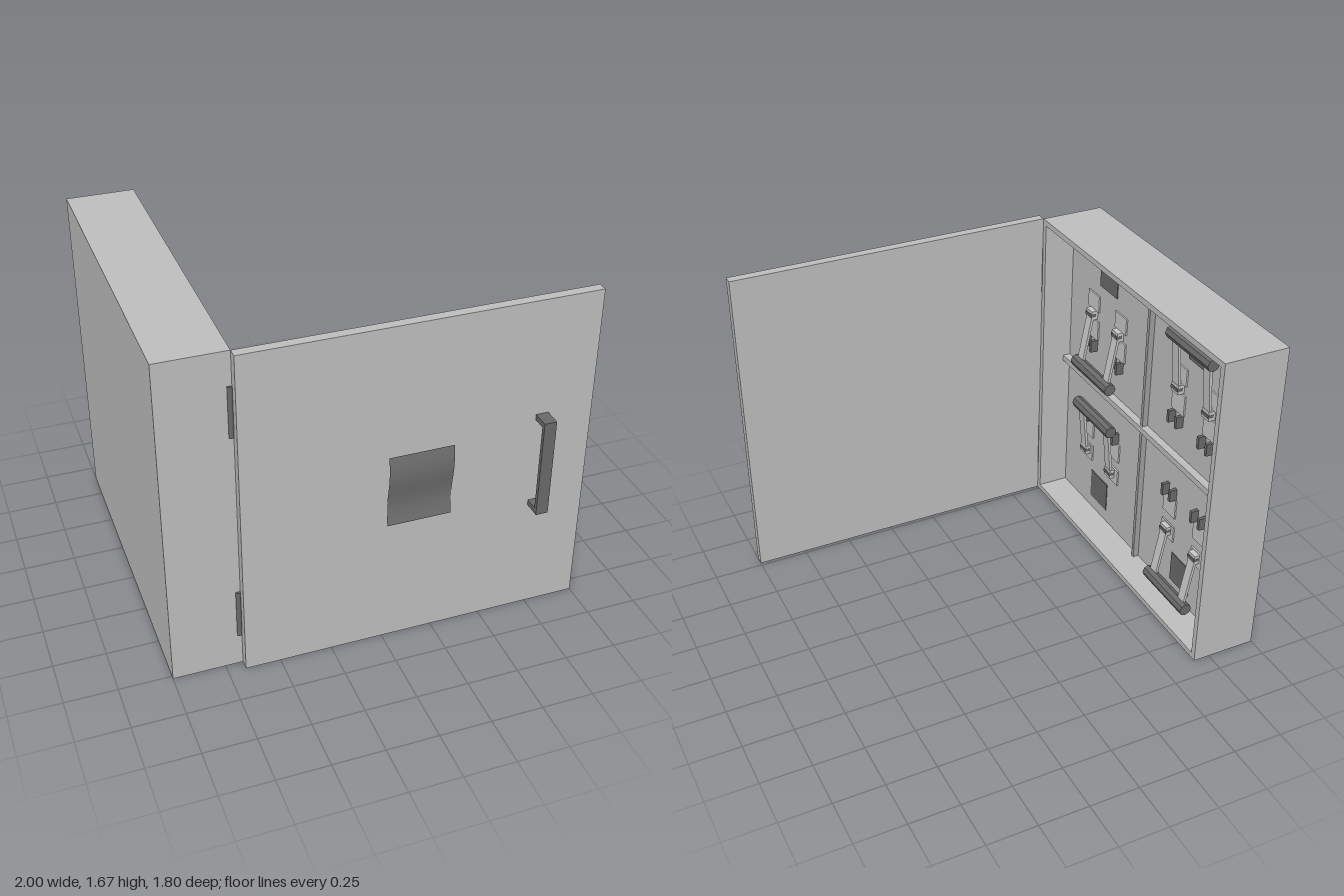
import * as THREE from 'three';

const mat = (name, color, side = THREE.FrontSide) => {
  const m = new THREE.MeshStandardMaterial({ color, side });
  m.name = name;
  return m;
};

export function createModel() {
  const grey = mat('cabinet grey', 0xbfbfbf);
  const pale = mat('pale metal', 0xc8c8c8);
  const mid = mat('mid grey', 0xa0a0a0);
  const dark = mat('dark grey', 0x6a6a6a);
  const signMat = mat('sign grey', 0x707070, THREE.DoubleSide);
  const root = new THREE.Group();

  const add = (name, geo, material, parent = root) => {
    const mesh = new THREE.Mesh(geo, material);
    mesh.name = name;
    parent.add(mesh);
    return mesh;
  };
  // Box given by its limits along each axis
  const box = (name, m, x0, x1, y0, y1, z0, z1, parent) => {
    const mesh = add(name, new THREE.BoxGeometry(x1 - x0, y1 - y0, z1 - z0), m, parent);
    mesh.position.set((x0 + x1) / 2, (y0 + y1) / 2, (z0 + z1) / 2);
    return mesh;
  };

  const H = 1.667, open = -0.667, panel = -0.832, wall = 0.03;
  const zBack = -0.9, zFront = 0.767;

  // Cabinet: solid back with a mounting face, and four rim walls
  box('cabinetBack', grey, -1, panel, 0, H, zBack, zFront);
  box('bottomWall', grey, panel, open, 0, wall, zBack, zFront);
  box('topWall', grey, panel, open, H - wall, H, zBack, zFront);
  box('rearWall', grey, panel, open, wall, H - wall, zBack, zBack + wall);
  box('frontWall', grey, panel, open, wall, H - wall, zFront - wall, zFront);

  // Dividers between the four bays
  box('shelfDivider', grey, panel, panel + 0.04, 0.82, 0.852, zBack + wall, zFront - wall);
  for (const [y0, y1] of [[wall, 0.82], [0.852, H - wall]]) {
    box('uprightDivider', mid, panel, panel + 0.03, y0, y1, -0.085, -0.065);
    box('uprightSeam', dark, panel, panel + 0.008, y0, y1, -0.065, -0.038);
  }

  // Open door with its handle and hinges
  box('door', grey, open, 1, 0, H, zFront, 0.815);
  const handle = new THREE.Group();
  handle.name = 'doorHandle';
  root.add(handle);
  box('handleGrip', dark, 0.72, 0.78, 0.585, 1.085, 0.88, 0.9, handle);
  for (const y of [0.585, 1.057]) box('handleLeg', dark, 0.72, 0.78, y, y + 0.028, 0.815, 0.88, handle);
  for (const y of [0.295, 1.375]) {
    add('hinge', new THREE.CylinderGeometry(0.012, 0.012, 0.25, 12), dark).position.set(-0.677, y, 0.766);
  }

  // Gently waved sign on the door
  const signGeo = new THREE.PlaneGeometry(0.31, 0.37, 1, 16);
  const p = signGeo.attributes.position;
  for (let i = 0; i < p.count; i++) p.setZ(i, 0.01 * Math.sin(p.getY(i) / 0.37 * Math.PI * 2));
  signGeo.computeVertexNormals();
  add('doorSign', signGeo, signMat).position.set(0.165, 0.837, 0.828);

  // Knife switches: zc centre, dir +1 upper / -1 lower bay, pivot and bar heights, bar offset
  const addSwitch = (name, zc, dir, pivotY, barY, barOut) => {
    const g = new THREE.Group();
    g.name = name;
    root.add(g);
    const at = (y) => (dir > 0 ? y : H - y);
    const span = (label, m, out, a, b, z0, z1) =>
      box(label, m, panel, panel + out, Math.min(at(a), at(b)), Math.max(at(a), at(b)), z0, z1, g);
    span('label', dark, 0.004, 1.4, 1.567, zc - 0.085, zc + 0.085);
    for (const s of [-1, 1]) {
      const z = zc + s * 0.132;
      const outer = zc + s * 0.137;
      span('contactPad', pale, 0.008, 1.08, 1.19, outer - 0.055, outer + 0.055);
      span('pivotPad', pale, 0.008, 1.245, 1.335, outer - 0.055, outer + 0.055);
      for (const c of [-0.034, 0.034]) span('clip', dark, 0.04, 1.015, 1.08, z + c - 0.009, z + c + 0.009);
      box('pivotBlock', pale, panel, panel + 0.036, pivotY - 0.025, pivotY + 0.025, z - 0.029, z + 0.029, g);
      box('pivotPin', dark, panel + 0.01, panel + 0.04, pivotY - 0.008, pivotY + 0.008, z - 0.03, z + 0.03, g);
      // Blade leaning out from the pivot to the bar
      const dx = barOut - 0.025, dy = barY - pivotY;
      const blade = add('blade', new THREE.BoxGeometry(0.014, Math.hypot(dx, dy), 0.052), pale, g);
      blade.position.set(panel + 0.025 + dx / 2, (pivotY + barY) / 2, z);
      blade.rotation.z = -Math.atan(dx / dy);
    }
    const bar = add('crossBar', new THREE.CylinderGeometry(0.033, 0.033, 0.36, 8).toNonIndexed(), dark, g);
    bar.geometry.computeVertexNormals();
    bar.rotation.x = Math.PI / 2;
    bar.position.set(panel + barOut, barY, zc);
  };
  addSwitch('upperFrontSwitch', 0.353, 1, 1.222, 0.938, 0.075);
  addSwitch('upperRearSwitch', -0.482, 1, 1.222, 1.508, 0.05);
  addSwitch('lowerFrontSwitch', 0.353, -1, 0.392, 0.675, 0.055);
  addSwitch('lowerRearSwitch', -0.482, -1, 0.392, 0.11, 0.075);

  return root;
}
